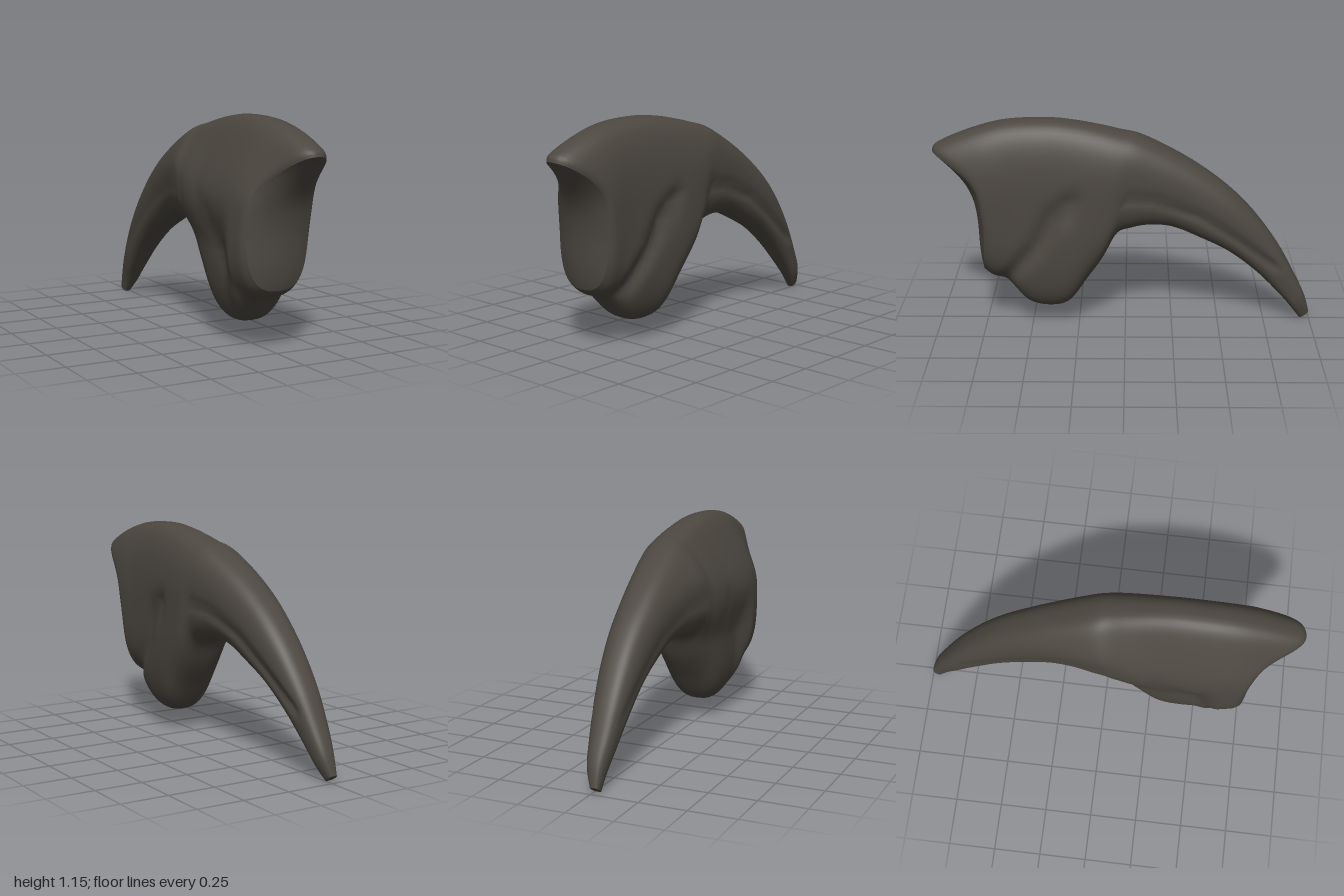
import * as THREE from 'three';

// Cross-sections from joint to tip: top z, top y, bottom z, bottom y, forward hollow, min x, max x
const SECTIONS = [
  [1.0, 0.98, 0.755, 0.31, 0.1, -0.175, 0.18],
  [0.97, 1.02, 0.71, 0.275, 0.09, -0.195, 0.195],
  [0.8, 1.09, 0.62, 0.235, 0.05, -0.205, 0.195],
  [0.62, 1.135, 0.52, 0.13, 0.02, -0.215, 0.19],
  [0.4, 1.145, 0.41, 0.1, 0, -0.215, 0.19],
  [0.25, 1.13, 0.3, 0.13, 0, -0.21, 0.195],
  [0.12, 1.105, 0.2, 0.27, 0, -0.2, 0.2],
  [0.02, 1.08, 0.12, 0.39, 0, -0.185, 0.2],
  [-0.06, 1.06, 0.05, 0.52, 0, -0.175, 0.19],
  [-0.15, 1.02, -0.02, 0.55, 0, -0.16, 0.18],
  [-0.28, 0.95, -0.13, 0.568, 0, -0.135, 0.165],
  [-0.42, 0.86, -0.25, 0.555, 0, -0.115, 0.15],
  [-0.57, 0.74, -0.4, 0.49, 0, -0.1, 0.135],
  [-0.7, 0.6, -0.55, 0.41, 0, -0.09, 0.115],
  [-0.82, 0.43, -0.7, 0.29, 0, -0.08, 0.09],
  [-0.91, 0.265, -0.83, 0.155, 0, -0.065, 0.065],
  [-0.97, 0.14, -0.9, 0.07, 0, -0.05, 0.045],
  [-1.0, 0.035, -0.95, 0.0, 0, -0.04, 0.01],
];

// Side grooves as [z, y] paths with depth and softness
const GROOVES = [
  { path: [[0.64, 0.27], [0.55, 0.38], [0.45, 0.5], [0.37, 0.66], [0.28, 0.72]], depth: 0.035, soft: 0.045 },
  { path: [[0.0, 0.75], [-0.15, 0.73], [-0.4, 0.63], [-0.6, 0.49], [-0.8, 0.33]], depth: 0.015, soft: 0.025 },
];

const STEPS = 90;
const AROUND = 64;
const smooth = THREE.MathUtils.smoothstep;

function sectionAt(f) {
  const last = SECTIONS.length - 1;
  const i = Math.min(Math.floor(f * last), last - 1);
  const w = f * last - i;
  const at = (k) => SECTIONS[Math.max(0, Math.min(last, k))];
  return SECTIONS[0].map((_, c) => {
    const [a, b, d, e] = [at(i - 1)[c], at(i)[c], at(i + 1)[c], at(i + 2)[c]];
    return b + 0.5 * w * (d - a + w * (2 * a - 5 * b + 4 * d - e + w * (3 * (b - d) + e - a)));
  });
}

function distanceToPath(z, y, path) {
  let best = Infinity;
  for (let i = 0; i < path.length - 1; i++) {
    const [az, ay] = path[i];
    const dz = path[i + 1][0] - az;
    const dy = path[i + 1][1] - ay;
    const t = THREE.MathUtils.clamp(((z - az) * dz + (y - ay) * dy) / (dz * dz + dy * dy), 0, 1);
    best = Math.min(best, Math.hypot(z - az - t * dz, y - ay - t * dy));
  }
  return best;
}

// Height (0 to 1) and sideways share (-1 to 1) of a ring point; the lower half is squarer
function outline(j) {
  const a = (j / AROUND) * Math.PI * 2;
  const c = Math.cos(a);
  const s = Math.sin(a);
  const power = c > 0 ? 0.8 : 0.72;
  return {
    t: 0.5 + 0.5 * Math.sign(c) * Math.abs(c) ** power,
    side: Math.sign(s) * Math.abs(s) ** power,
  };
}

// How far the edges of the joint face sweep back, most of all beside the beak
const edgeSweep = (t) => 0.045 + 0.05 * smooth(t, 0.5, 0.9);

// One rounded ring of the claw
function ringAt(f) {
  const [tz, ty, bz, by, bow, x0, x1] = sectionAt(f);
  const front = 1 - smooth(f, 0.04, 0.17);
  const ring = [];
  for (let j = 0; j < AROUND; j++) {
    const { t, side } = outline(j);
    const width = Math.abs(side);
    const y = by + (ty - by) * t;
    const z = bz + (tz - bz) * t - bow * Math.sin(Math.PI * t ** 1.5);
    // the lower knob is slimmer than the body above it
    const knob = (1 - smooth(y, 0.48, 0.72)) * (1 - smooth(z, 0.48, 0.64)) * smooth(z, -0.1, 0.1);
    let half = ((x1 - x0) / 2) * width * (1 - 0.13 * knob);
    // the upper right flank slopes in toward the crest
    if (side < 0) half *= 1 - 0.28 * smooth(t, 0.62, 0.95) * smooth(z, -0.5, 0.2);
    for (const g of GROOVES) {
      const d = distanceToPath(z, y, g.path) / g.soft;
      half -= g.depth * (side > 0 ? 1 : 0.35) * Math.exp(-d * d) * width;
    }
    const mid = (x0 + x1) / 2 + 0.055 * t ** 3 * smooth(z, -0.5, 0.4) + 0.03 * knob;
    ring.push(new THREE.Vector3(mid + Math.sign(side) * half, y, z - front * edgeSweep(t) * side * side));
  }
  return ring;
}

// Surface through rows of points, optionally closed around each row
function gridGeometry(rows, closed, flip) {
  const n = rows[0].length;
  const index = [];
  for (let i = 0; i < rows.length - 1; i++) {
    for (let j = 0; j < (closed ? n : n - 1); j++) {
      const k = (j + 1) % n;
      const [a, b, c, d] = [i * n + j, i * n + k, (i + 1) * n + j, (i + 1) * n + k];
      if (flip) index.push(a, c, b, b, c, d);
      else index.push(a, b, c, b, d, c);
    }
  }
  const geometry = new THREE.BufferGeometry().setFromPoints(rows.flat());
  geometry.setIndex(index);
  geometry.computeVertexNormals();
  return geometry;
}

// Fills a ring from side to side; bulge(t) pushes the middle forward
function capGeometry(ring, bulge, flip) {
  const rows = [];
  for (let j = 0; j <= AROUND / 2; j++) {
    const { t, side } = outline(j);
    const right = ring[(AROUND - j) % AROUND];
    const row = [];
    for (let k = 0; k <= 16; k++) {
      const s = k / 8 - 1;
      const p = right.clone().lerp(ring[j], k / 16);
      p.z += bulge(t) * side * side * (1 - s * s);
      row.push(p);
    }
    rows.push(row);
  }
  return gridGeometry(rows, false, flip);
}

export function createModel() {
  const group = new THREE.Group();
  group.name = 'fossilClaw';
  const bone = new THREE.MeshStandardMaterial({ color: 0x4c4740 });
  bone.name = 'darkBone';

  const add = (name, geometry) => {
    const mesh = new THREE.Mesh(geometry, bone);
    mesh.name = name;
    group.add(mesh);
  };

  const rings = [];
  for (let i = 0; i <= STEPS; i++) rings.push(ringAt(i / STEPS));

  // Curved claw with its lower knob
  add('clawBody', gridGeometry(rings, true, false));
  // Joint surface at the front, swelling into a beak at the top
  add('jointFace', capGeometry(rings[0], edgeSweep, true));
  // Broken end of the point
  add('clawTip', capGeometry(rings[STEPS], () => 0, false));
  return group;
}
